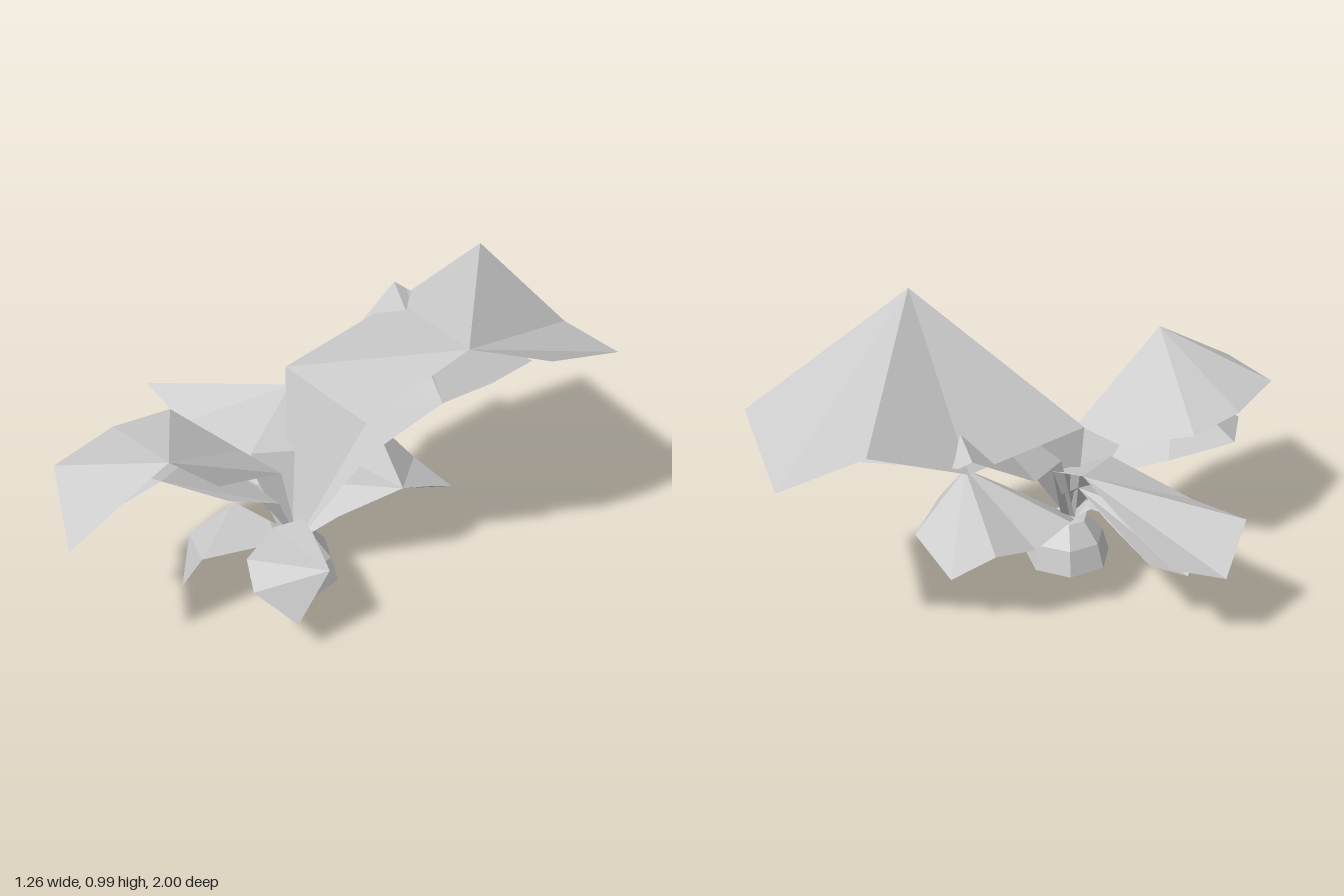
import * as THREE from 'three';

const material = new THREE.MeshStandardMaterial({ color: 0xcccccc, flatShading: true, side: THREE.DoubleSide });
const crown = new THREE.Vector3(0.15, 0.16, 0.14);

// A folded leaf: a tapering stalk from the crown to the blade's two shoulders
// (rim points shoulder and shoulder + 1), then facets fanned from the peak along the rim.
function leaf(name, peak, rim, shoulder = 0) {
  const p = new THREE.Vector3(...peak);
  const edge = rim.map((c) => new THREE.Vector3(...c));
  const [a, b] = edge.slice(shoulder, shoulder + 2);
  const across = b.clone().sub(a).setLength(0.03);
  const footA = crown.clone().sub(across);
  const footB = crown.clone().add(across);
  const corners = [footA, footB, b, footA, b, a];
  for (let i = 0; i < edge.length - 1; i++) corners.push(p, edge[i], edge[i + 1]);
  const geometry = new THREE.BufferGeometry().setFromPoints(corners);
  geometry.computeVertexNormals();
  const mesh = new THREE.Mesh(geometry, material);
  mesh.name = name;
  return mesh;
}

export function createModel() {
  const plant = new THREE.Group();
  plant.name = 'plant';

  // Faceted bulb, open underneath and around the stalks
  const profile = [[0.155, 0], [0.13, 0.09], [0.07, 0.165], [0.03, 0.17]].map((c) => new THREE.Vector2(...c));
  const bulb = new THREE.Mesh(new THREE.LatheGeometry(profile, 7, Math.PI / 7), material);
  bulb.position.set(0.147, 0, 0.13);
  bulb.name = 'bulb';
  plant.add(bulb);

  // Back leaves: tall, middle and low
  plant.add(leaf('tallBackLeaf', [0.605, 0.99, -0.19], [
    [0.345, 0.66, -0.01], [-0.09, 0.66, -0.01], [-0.16, 0.71, -0.55], [-0.1, 0.86, -0.88],
    [0.23, 0.65, -1.0], [0.61, 0.75, -0.86], [0.63, 0.84, -0.53]]));
  plant.add(leaf('middleBackLeaf', [0.5, 0.745, -0.19], [
    [0.31, 0.5, -0.05], [-0.02, 0.52, -0.05], [-0.165, 0.59, -0.29], [-0.19, 0.768, -0.56],
    [-0.16, 0.745, -0.59], [0.34, 0.63, -0.74], [0.45, 0.7, -0.45]]));
  plant.add(leaf('lowBackLeaf', [0.375, 0.365, -0.15], [
    [0.25, 0.25, 0.02], [0.0, 0.25, 0.01], [-0.06, 0.25, -0.2], [-0.08, 0.31, -0.39],
    [0.06, 0.19, -0.47], [0.32, 0.23, -0.42], [0.36, 0.31, -0.28]]));

  // Right leaves: upper and lower
  plant.add(leaf('upperRightLeaf', [-0.16, 0.53, -0.08], [
    [0.08, 0.42, 0.0], [0.0, 0.44, 0.2], [-0.35, 0.4, 0.245], [-0.6, 0.435, 0.235],
    [-0.63, 0.27, 0.12], [-0.54, 0.33, -0.04], [-0.35, 0.43, -0.07]]));
  plant.add(leaf('lowerRightLeaf', [-0.05, 0.41, 0.0], [
    [0.1, 0.3, 0.04], [0.03, 0.33, 0.2], [-0.24, 0.3, 0.2], [-0.435, 0.33, 0.2],
    [-0.46, 0.2, 0.12], [-0.39, 0.255, 0.01], [-0.2, 0.34, 0.0]]));

  // Front leaves: upper, middle and a small drooping one
  plant.add(leaf('upperFrontLeaf', [0.235, 0.72, 0.66], [
    [0.26, 0.58, 0.5], [0.2, 0.48, 0.22], [0.0, 0.47, 0.24], [-0.24, 0.555, 0.36],
    [-0.24, 0.57, 0.58], [-0.15, 0.575, 0.85], [0.2, 0.515, 1.0]], 1));
  plant.add(leaf('middleFrontLeaf', [0.1, 0.555, 0.61], [
    [0.19, 0.45, 0.42], [0.2, 0.365, 0.23], [0.0, 0.365, 0.24], [-0.13, 0.42, 0.35],
    [-0.21, 0.435, 0.6], [-0.03, 0.395, 0.82]], 1));
  plant.add(leaf('smallFrontLeaf', [0.13, 0.21, 0.49], [
    [0.18, 0.19, 0.23], [0.08, 0.2, 0.18], [-0.08, 0.205, 0.22], [-0.09, 0.14, 0.4],
    [0.03, 0.045, 0.51]]));

  // Left leaves: upper and lower
  plant.add(leaf('upperLeftLeaf', [0.5, 0.285, 0.25], [
    [0.31, 0.275, 0.17], [0.21, 0.27, 0.14], [0.18, 0.26, 0.24], [0.27, 0.262, 0.41],
    [0.38, 0.22, 0.46], [0.495, 0.12, 0.37]], 1));
  plant.add(leaf('lowerLeftLeaf', [0.38, 0.235, 0.22], [
    [0.25, 0.235, 0.17], [0.2, 0.22, 0.15], [0.17, 0.2, 0.22], [0.2, 0.2, 0.32],
    [0.28, 0.17, 0.37], [0.375, 0.11, 0.31]], 1));

  return plant;
}
